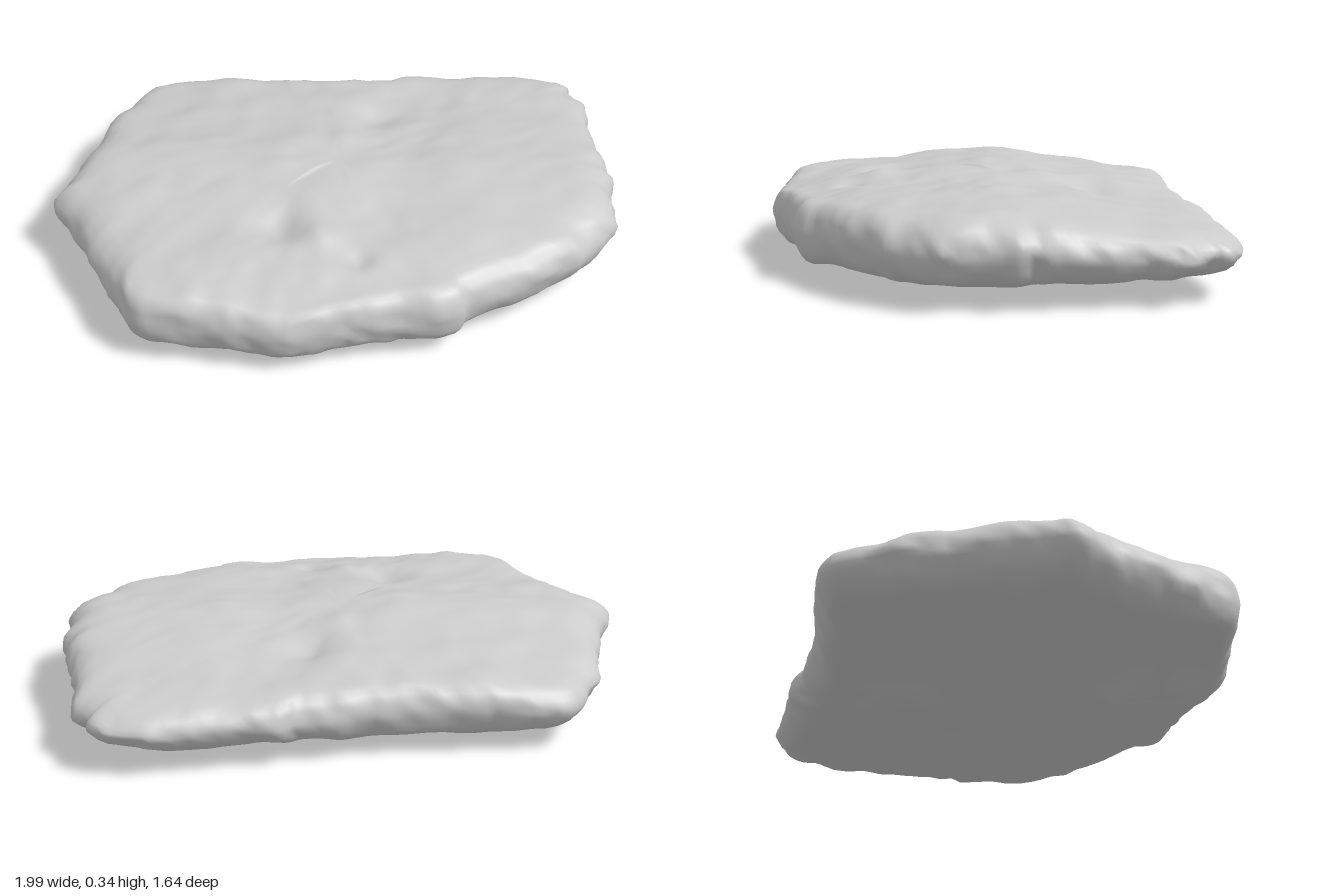
import * as THREE from 'three';
import { mergeVertices } from 'three/addons/utils/BufferGeometryUtils.js';

// Slab outline seen from above, as x, z pairs
const OUTLINE = [
  -1, .2, -.94, 0, -.91, -.2, -.9, -.35, -.84, -.45, -.8, -.58, -.74, -.62, -.5, -.635,
  -.1, -.655, 0, -.69, .15, -.71, .2, -.75, .4, -.77, .63, -.83, .8, -.79, .83, -.76, .82, -.72,
  .89, -.64, .9, -.5, .92, -.35, .97, -.2, .96, -.14, .99, -.1, .97, 0, .99, .16,
  .95, .23, .89, .3, .87, .34, .7, .48, .5, .61, .48, .65, .41, .68, .28, .7,
  .05, .77, -.08, .82, -.3, .805, -.58, .79, -.65, .74, -.71, .64, -.78, .52, -.9, .34,
];

// Height profiles: [position, height]
const TOP_Z = [[-.83, .225], [-.7, .25], [-.4, .29], [-.2, .315], [0, .343], [.2, .325], [.4, .315], [.6, .295], [.83, .262]];
const TOP_X = [[-1, -.07], [-.9, -.045], [-.6, -.015], [-.35, 0], [0, .003], [.2, -.02], [.45, -.008], [.9, -.025], [1, -.04]];
const BASE_Z = [[-.83, .095], [-.7, .08], [-.45, .062], [0, .065], [.4, .06], [.83, .065]];
const BASE_X = [[-1, .025], [-.8, .005], [-.3, -.005], [.2, -.005], [.5, .005], [1, .02]];

// Bumps and dents: x, z, radius, height
const TOP_MARKS = [[.1, -.33, .08, -.03], [.22, -.3, .07, .012], [-.17, .37, .08, -.035],
  [-.02, .43, .06, .02], [.12, .52, .04, -.02], [-.12, .8, .16, -.022], [-.45, .72, .16, .01]];
const BASE_MARKS = [[-.12, .62, .11, -.045], [-.1, .46, .08, -.045], [0, -.26, .07, -.02],
  [.02, -.4, .1, -.03], [.3, -.25, .1, -.012], [-.5, .1, .16, .012], [.4, .3, .14, .01]];

function sample(profile, t) {
  if (t <= profile[0][0]) return profile[0][1];
  for (let i = 1; i < profile.length; i++) {
    const [a, ya] = profile[i - 1], [b, yb] = profile[i];
    if (t <= b) return ya + (yb - ya) * (t - a) / (b - a);
  }
  return profile[profile.length - 1][1];
}

// Averages neighbouring samples so that a profile has no creases
const smooth = (profile, t) => [-.1, -.05, 0, .05, .1].reduce((sum, d) => sum + sample(profile, t + d) / 5, 0);

const marks = (list, x, z) => list.reduce((sum, [cx, cz, r, h]) =>
  sum + h * Math.exp(-((x - cx) ** 2 + (z - cz) ** 2) / (r * r)), 0);

// Smooth value noise in three dimensions, from -1 to 1
function hash(i, j, k) {
  const s = Math.sin(i * 127.1 + j * 311.7 + k * 74.7) * 43758.5453;
  return (s - Math.floor(s)) * 2 - 1;
}
function noise(x, y, z) {
  const c = [x, y, z].map(Math.floor);
  const f = [x - c[0], y - c[1], z - c[2]].map((t) => t * t * (3 - 2 * t));
  let sum = 0;
  for (let n = 0; n < 8; n++) {
    const o = [n & 1, (n >> 1) & 1, n >> 2];
    const w = o.reduce((p, bit, a) => p * (bit ? f[a] : 1 - f[a]), 1);
    sum += w * hash(c[0] + o[0], c[1] + o[1], c[2] + o[2]);
  }
  return sum;
}
const rough = (x, z, seed) => .007 * noise(x * 4.3, seed, z * 4.3)
  + .006 * noise((x + z) * 7, seed + 5, (x - z) * 7) + .0025 * noise(x * 19, seed + 9, z * 19);

const topHeight = (x, z) => smooth(TOP_Z, z) + smooth(TOP_X, x) + marks(TOP_MARKS, x, z) + rough(x, z, 2);
const baseHeight = (x, z) => smooth(BASE_Z, z) + smooth(BASE_X, x) + marks(BASE_MARKS, x, z) + rough(x, z, 20);

function slabGeometry() {
  const points = [];
  for (let i = 0; i < OUTLINE.length; i += 2) points.push(new THREE.Vector3(OUTLINE[i], 0, OUTLINE[i + 1]));
  const count = 240;
  const rim = new THREE.CatmullRomCurve3(points, true, 'catmullrom', .15).getSpacedPoints(count);

  // Rings from underside centre, around the rim, to top centre: [scale, height fraction]
  const face = Array.from({ length: 24 }, (_, i) => i * .0375);
  const rings = [
    ...face.map((s) => [s, 0]),
    [.89, .01], [.92, .05], [.95, .13], [.975, .25], [.99, .38], [1, .5],
    [.997, .62], [.99, .74], [.973, .85], [.945, .94], [.91, .985],
    ...face.slice().reverse().map((s) => [s, 1]),
  ];

  const position = [], index = [];
  rings.forEach(([scale, v], k) => {
    for (let i = 0; i < count; i++) {
      const p = rim[i];
      // The front side is steeper than the others
      const steep = 1 - .5 * THREE.MathUtils.smoothstep(p.z, .55, .75);
      // Chipped sides: the rim moves in and out a little
      const edge = THREE.MathUtils.smoothstep(scale, .8, .97);
      const chip = .011 * noise(p.x * 8, v * 3, p.z * 8) + .01 * noise(p.x * 21, v * 5, p.z * 21) - .004;
      const s = scale ** steep + edge * chip;
      const x = p.x * s, z = p.z * s;
      position.push(x, THREE.MathUtils.lerp(baseHeight(x, z), topHeight(x, z), v), z);
      if (k === rings.length - 1) continue;
      const j = (i + 1) % count;
      const a = k * count + i, b = k * count + j, c = b + count, d = a + count;
      if (k < rings.length - 2) index.push(a, d, c);
      if (k > 0) index.push(a, c, b);
    }
  });

  let geometry = new THREE.BufferGeometry();
  geometry.setAttribute('position', new THREE.Float32BufferAttribute(position, 3));
  geometry.setIndex(index);
  geometry = mergeVertices(geometry, 1e-5);

  // Centre and stand on the ground
  geometry.computeBoundingBox();
  const box = geometry.boundingBox;
  const centre = box.getCenter(new THREE.Vector3());
  geometry.translate(-centre.x, -box.min.y, -centre.z);
  geometry.computeVertexNormals();
  return geometry;
}

export function createModel() {
  const group = new THREE.Group();
  group.name = 'flatRock';
  const slab = new THREE.Mesh(slabGeometry(), new THREE.MeshStandardMaterial({ color: 0xcccccc }));
  slab.name = 'stoneSlab';
  group.add(slab);
  return group;
}
